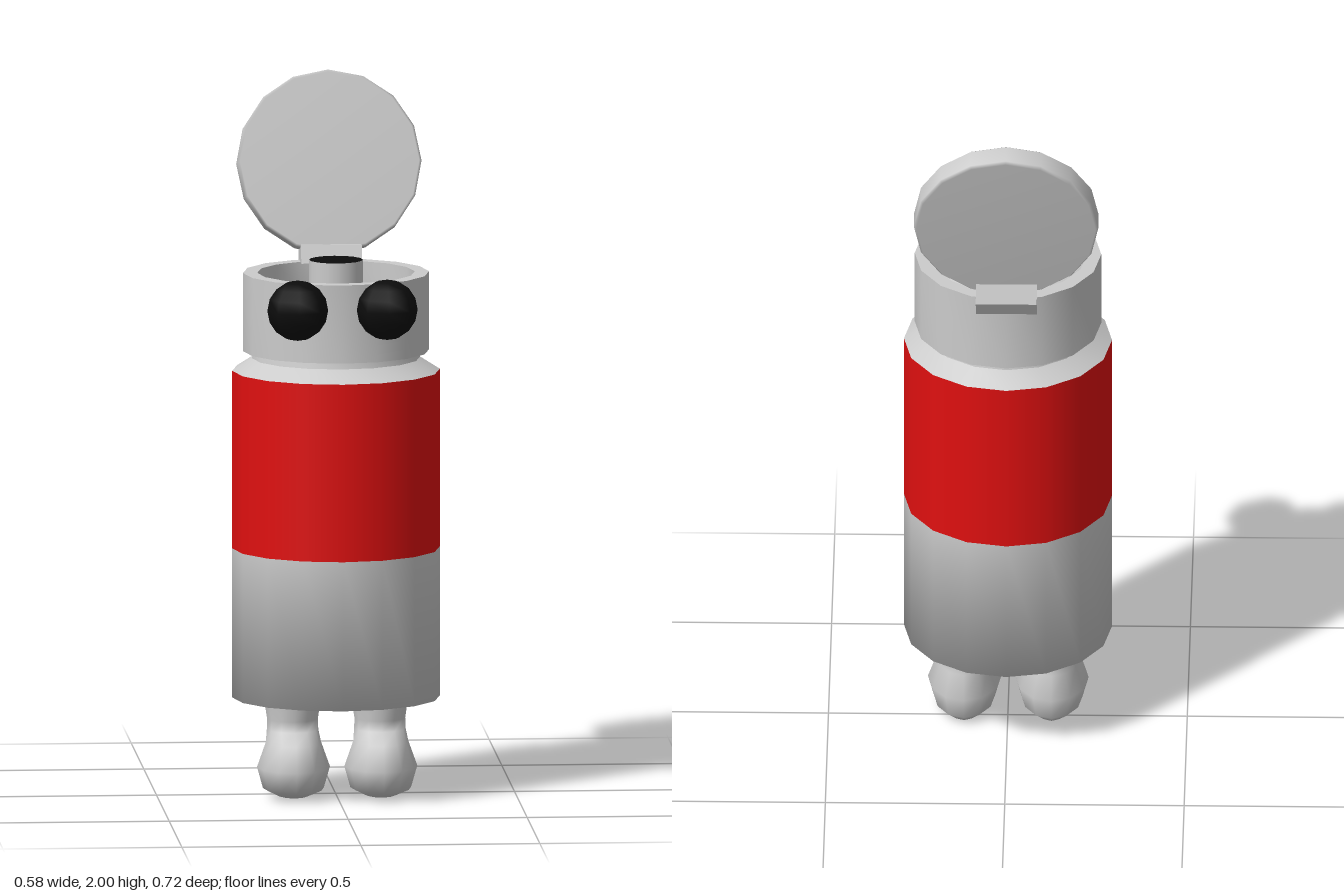
import * as THREE from 'three';
import { toCreasedNormals } from 'three/addons/utils/BufferGeometryUtils.js';

const grey = new THREE.MeshStandardMaterial({ color: 0xcccccc });
const red = new THREE.MeshStandardMaterial({ color: 0xe01010 });
const black = new THREE.MeshStandardMaterial({ color: 0x0c0c0c });
const AXIS_Z = 0.02; // bottle axis

export function createModel() {
  const model = new THREE.Group();
  model.name = 'flaskCharacter';

  const add = (name, geometry, material, x = 0, y = 0, z = 0) => {
    const mesh = new THREE.Mesh(geometry, material);
    mesh.name = name;
    mesh.position.set(x, y, z);
    model.add(mesh);
    return mesh;
  };
  const lathe = (pts, sides = 16) =>
    new THREE.LatheGeometry(pts.map(([r, y]) => new THREE.Vector2(r, y)), sides);
  const sharpLathe = (pts, sides) => toCreasedNormals(lathe(pts, sides), 0.55);

  // Bottle body: grey base, red band, shoulder and neck
  add('lowerBody', lathe([[0, 0.28], [0.29, 0.28], [0.29, 0.7]]), grey, 0, 0, AXIS_Z);
  add('redBand', lathe([[0.29, 0.7], [0.29, 1.2]]), red, 0, 0, AXIS_Z);
  add('shoulder', sharpLathe([[0.29, 1.2], [0.235, 1.235], [0.23, 1.26]]), grey, 0, 0, AXIS_Z);

  // Collar with a raised rim and a conical floor inside it
  add('collar', sharpLathe([
    [0.22, 1.255], [0.26, 1.255], [0.26, 1.475], [0.22, 1.475], [0.22, 1.4], [0.07, 1.435],
  ]), grey, 0, 0, AXIS_Z);

  // Drinking spout with a dark opening
  add('spout', lathe([[0.075, 1.42], [0.075, 1.51]]), grey, 0, 0, AXIS_Z);
  add('spoutOpening', new THREE.CircleGeometry(0.075, 16).rotateX(-Math.PI / 2), black, 0, 1.51, AXIS_Z);

  // Flipped-open lid, leaning back
  const lid = add('lid', lathe([
    [0, -0.036], [0.25, -0.036], [0.257, -0.028], [0.257, 0.028], [0.25, 0.036], [0, 0.036],
  ]), grey, 0, 1.743, -0.262);
  lid.rotation.x = -THREE.MathUtils.degToRad(104);

  // Hinge: side profile in (z, y), extruded across x
  const hingeShape = new THREE.Shape([
    [-0.145, 1.475], [-0.165, 1.525], [-0.245, 1.53], [-0.265, 1.475],
    [-0.24, 1.43], [-0.222, 1.445], [-0.222, 1.475],
  ].map(([z, y]) => new THREE.Vector2(-z, y)));
  const hinge = new THREE.ExtrudeGeometry(hingeShape, { depth: 0.17, bevelEnabled: false });
  hinge.translate(0, 0, -0.085).rotateY(Math.PI / 2);
  add('hinge', hinge, grey);

  for (const side of [-1, 1]) {
    const label = side > 0 ? 'left' : 'right';
    add(label + 'Eye', new THREE.SphereGeometry(0.085, 8, 8), black, side * 0.125, 1.405, 0.275);
    add(label + 'Leg', legGeometry(), grey, side * 0.122, 0, 0);
  }
  return model;
}

// Leg and foot in one skin: elliptical rings of [y, z centre, x radius, z radius]
function legGeometry() {
  const rings = [
    [0.004, 0.04, 0.001, 0.001], [0.008, 0.04, 0.045, 0.08], [0.03, 0.062, 0.085, 0.127],
    [0.09, 0.065, 0.102, 0.14], [0.16, 0.062, 0.077, 0.117], [0.19, 0.028, 0.072, 0.078],
    [0.22, 0.026, 0.071, 0.076], [0.3, 0.025, 0.083, 0.088],
  ];
  const n = 12, positions = [], index = [];
  rings.forEach(([y, zc, rx, rz], r) => {
    for (let i = 0; i < n; i++) {
      const a = (i / n) * Math.PI * 2;
      positions.push(Math.sin(a) * rx, y, zc + Math.cos(a) * rz);
      if (r === rings.length - 1) continue;
      const p = r * n + i, q = r * n + (i + 1) % n;
      index.push(p, q, q + n, p, q + n, p + n);
    }
  });
  const g = new THREE.BufferGeometry();
  g.setAttribute('position', new THREE.Float32BufferAttribute(positions, 3));
  g.setIndex(index);
  g.computeVertexNormals();
  return g;
}
